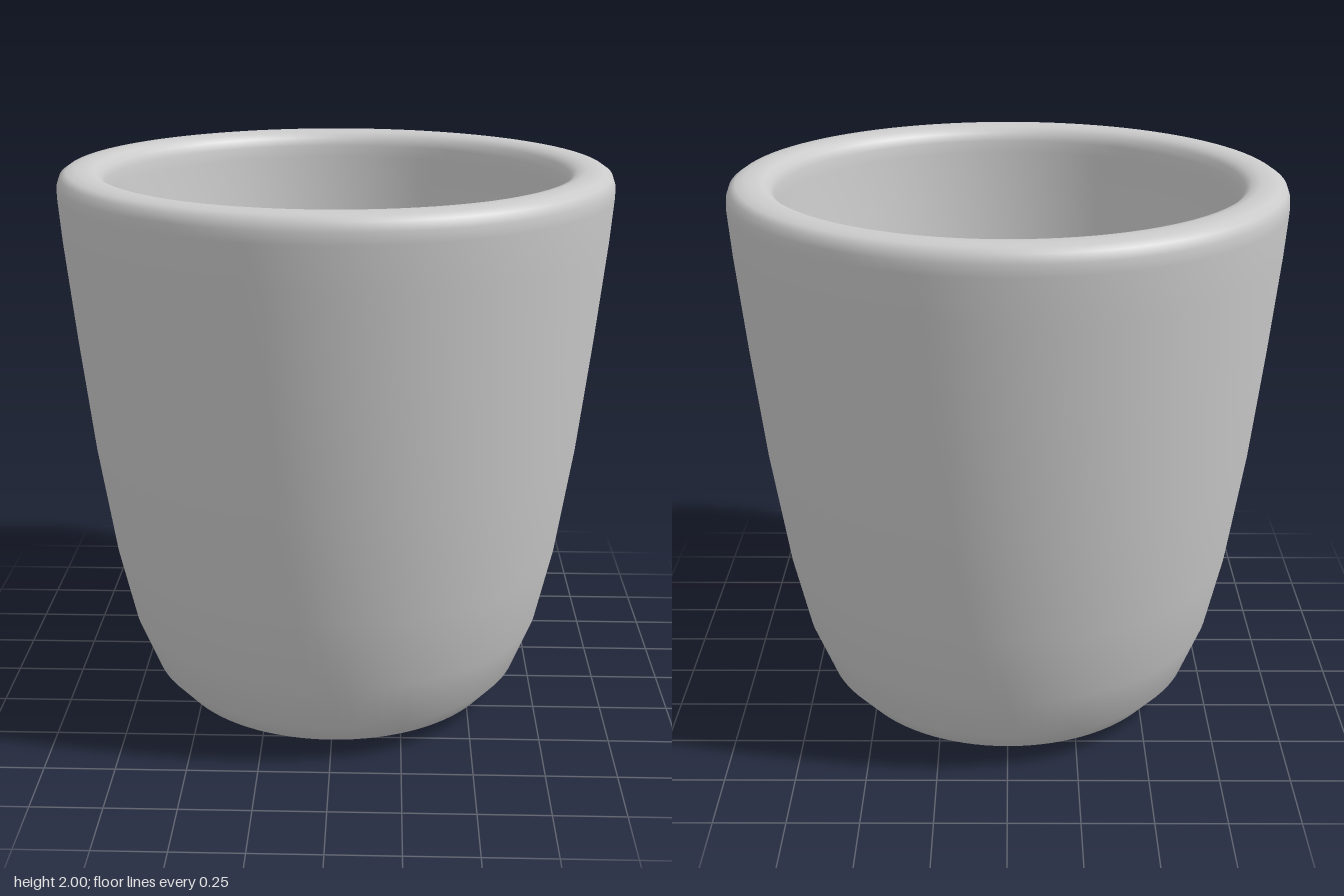
import * as THREE from 'three';

export function createModel() {
  const group = new THREE.Group();
  const material = new THREE.MeshStandardMaterial({ color: 0xcccccc });

  // Cross-section: underside, outer wall, rounded rim, inner wall, floor
  const profile = [
    [0, 0], [0.46, 0], [0.54, 0.01], [0.61, 0.05], [0.69, 0.14],
    [0.765, 0.33], [0.825, 0.6], [0.885, 1.0], [0.93, 1.4], [0.965, 1.75],
    [0.977, 1.91], [0.976, 1.95], [0.965, 1.98], [0.943, 1.995], [0.91, 2],
    [0.875, 2], [0.845, 1.993], [0.823, 1.975], [0.812, 1.945], [0.81, 1.9],
    [0.795, 1.7], [0.765, 1.4], [0.72, 1.0], [0.67, 0.65], [0.62, 0.4],
    [0.57, 0.27], [0.51, 0.2], [0.43, 0.17], [0, 0.17],
  ].map(([r, y]) => new THREE.Vector2(r, y));

  const cup = new THREE.Mesh(new THREE.LatheGeometry(profile, 96), material);
  cup.name = 'cup';
  group.add(cup);
  return group;
}
